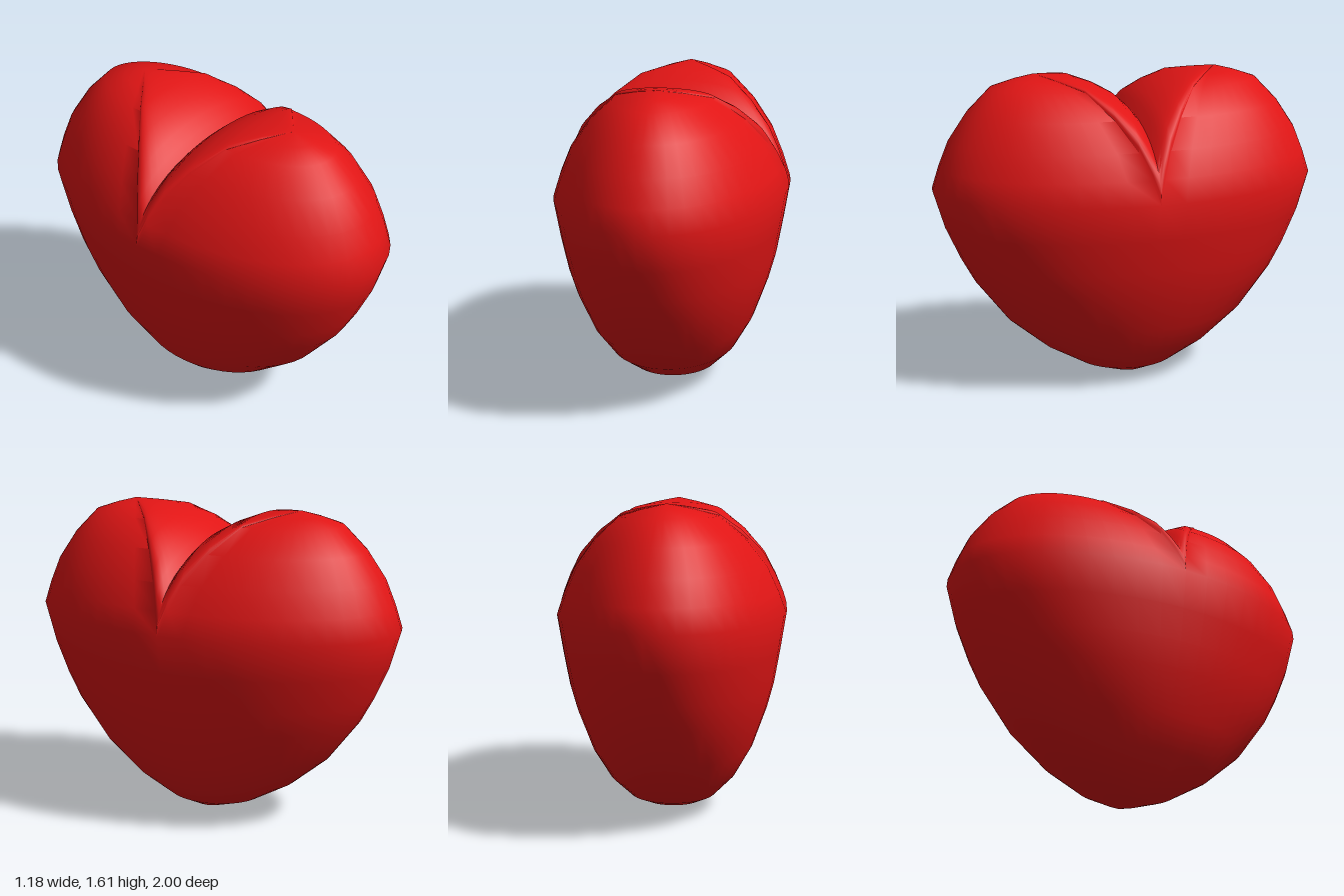
import * as THREE from 'three';
import { mergeGeometries, toCreasedNormals } from 'three/addons/utils/BufferGeometryUtils.js';

const SEGMENTS = 48;
const RIM_Y = 1.04, RIM_X = 0.59;      // widest section
const PEAK_Y = 1.605, PEAK_Z = 0.48;   // top of each lobe
const VALLEY_RISE = 0.375;             // height of the cleft above the rim

// Skin closed loops, ordered from top to bottom; point(row, angle) gives [x, y, z]
function skin(rows, point) {
  const positions = [], index = [];
  const stride = SEGMENTS + 1;
  for (let i = 0; i < rows; i++) {
    for (let j = 0; j <= SEGMENTS; j++) {
      positions.push(...point(i, ((j % SEGMENTS) / SEGMENTS) * Math.PI * 2));
    }
  }
  for (let i = 0; i < rows - 1; i++) {
    for (let j = 0; j < SEGMENTS; j++) {
      const a = i * stride + j, b = a + 1, c = a + stride, d = c + 1;
      if (i > 0) index.push(a, b, c);
      index.push(b, d, c);
      if (i === 0) index.push(a, b, c);
    }
  }
  const geometry = new THREE.BufferGeometry();
  geometry.setAttribute('position', new THREE.Float32BufferAttribute(positions, 3));
  geometry.setIndex(index);
  return geometry;
}

// Lower body: elliptical sections [y, half width, half depth]
function lowerBody() {
  const sections = [
    [RIM_Y, RIM_X, 1], [0.85, 0.56, 0.945], [0.68, 0.53, 0.87], [0.55, 0.495, 0.8],
    [0.34, 0.42, 0.64], [0.18, 0.33, 0.45], [0.07, 0.225, 0.26], [0.02, 0.13, 0.11],
    [0.003, 0.09, 0.03], [0, 0, 0],
  ];
  return skin(sections.length, (i, a) => {
    const [y, w, d] = sections[i];
    return [w * Math.cos(a), y, d * Math.sin(a)];
  });
}

// Lobe: fans out from its peak to half of the rim and to the arched cleft at z = 0
function lobe() {
  const profile = [[0, 0], [0.21, 0.05], [0.42, 0.115], [0.65, 0.33], [0.83, 0.575], [0.93, 0.8], [1, 1]];
  return skin(profile.length, (i, a) => {
    const [reach, drop] = profile[i];
    const rimY = RIM_Y + VALLEY_RISE * Math.max(0, -Math.sin(a));
    const rimZ = Math.max(0, Math.sin(a));
    return [
      reach * RIM_X * Math.cos(a),
      PEAK_Y + drop * (rimY - PEAK_Y),
      PEAK_Z + reach * (rimZ - PEAK_Z),
    ];
  });
}

export function createModel() {
  const group = new THREE.Group();
  group.name = 'heart';
  const merged = mergeGeometries([lowerBody(), lobe(), lobe().rotateY(Math.PI)]);
  const body = new THREE.Mesh(
    toCreasedNormals(merged, 0.85),
    new THREE.MeshStandardMaterial({ color: 0xe01515 })
  );
  body.name = 'heartBody';
  group.add(body);
  return group;
}
